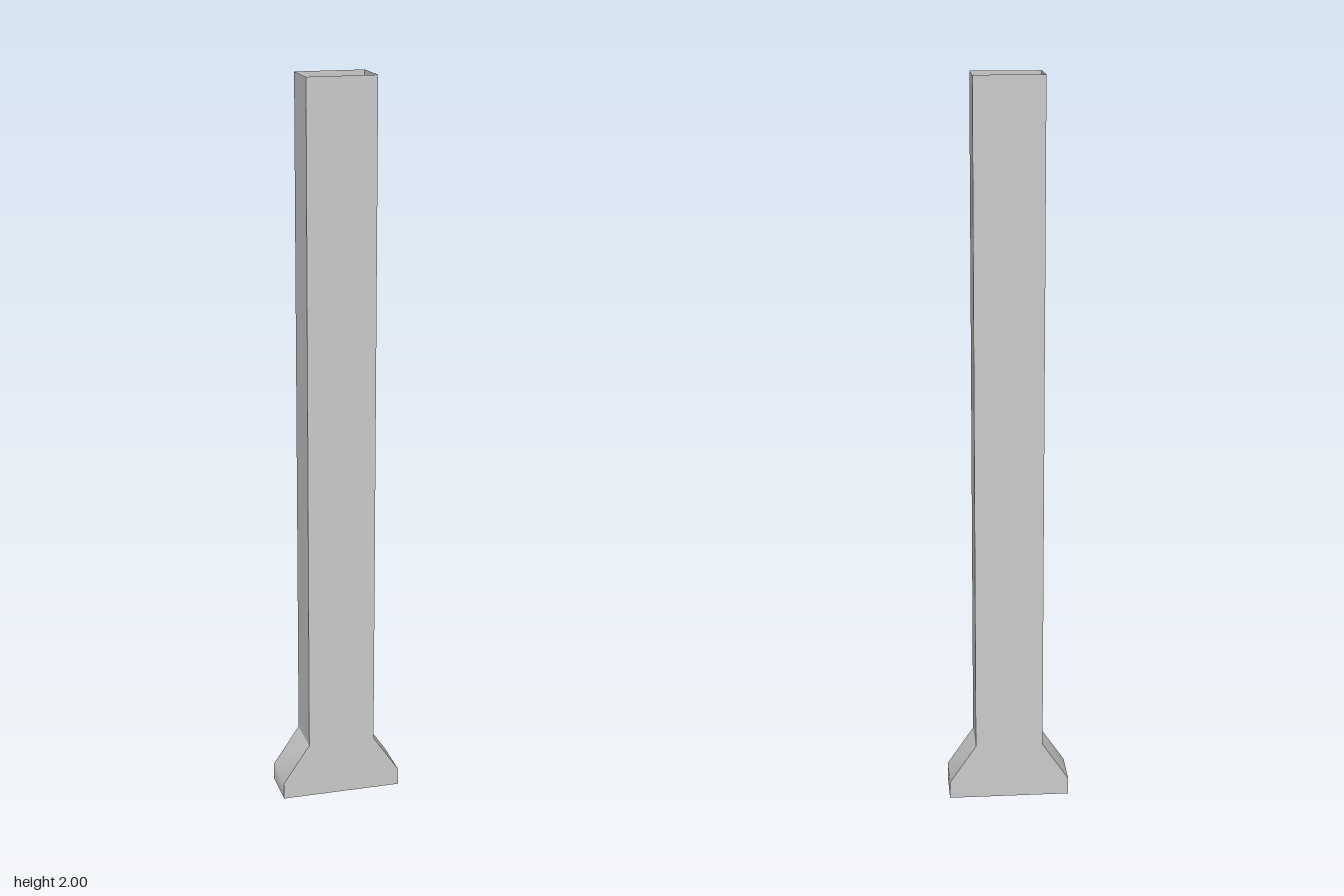
import * as THREE from 'three';

const HALF_DEPTH = 0.062;
const SHAFT = 0.0935; // half width of the shaft
const FOOT = 0.167;   // half width of the flared foot
const RIM = 0.047, NECK = 0.155, TOP = 2;

const material = new THREE.MeshStandardMaterial({ color: 0xcccccc, side: THREE.DoubleSide });

// Side strip facing +x that follows [x, y] points from top to bottom
function sideStrip(points) {
  const geo = new THREE.PlaneGeometry(HALF_DEPTH * 2, 1, 1, points.length - 1);
  geo.rotateY(Math.PI / 2);
  const pos = geo.attributes.position;
  for (let i = 0; i < pos.count; i++) {
    const [x, y] = points[Math.floor(i / 2)];
    pos.setXYZ(i, x, y, pos.getZ(i));
  }
  geo.computeVertexNormals();
  return geo;
}

export function createModel() {
  const model = new THREE.Group();
  model.name = 'flaredDuct';

  // Flat panel outline: straight shaft widening into the foot
  const half = [[FOOT, 0], [FOOT, RIM], [SHAFT, NECK], [SHAFT, TOP]];
  const outline = [...half, ...half.map(([x, y]) => [-x, y]).reverse()];
  const panel = new THREE.ShapeGeometry(
    new THREE.Shape(outline.map(([x, y]) => new THREE.Vector2(x, y))));
  panel.translate(0, 0, HALF_DEPTH);

  const shaftSide = sideStrip([[SHAFT, TOP], [SHAFT, NECK]]);
  const footSide = sideStrip([[SHAFT, NECK], [FOOT, RIM], [FOOT, 0]]);

  // Each half turn repeats one panel and one side; both ends stay open
  [['front', 'left', 0], ['back', 'right', Math.PI]].forEach(([face, side, turn]) => {
    const parts = [
      [panel, face + 'Panel'],
      [shaftSide, side + 'ShaftWall'],
      [footSide, side + 'FootFlare'],
    ];
    for (const [geo, name] of parts) {
      const mesh = new THREE.Mesh(geo, material);
      mesh.name = name;
      mesh.rotation.y = turn;
      model.add(mesh);
    }
  });

  return model;
}
